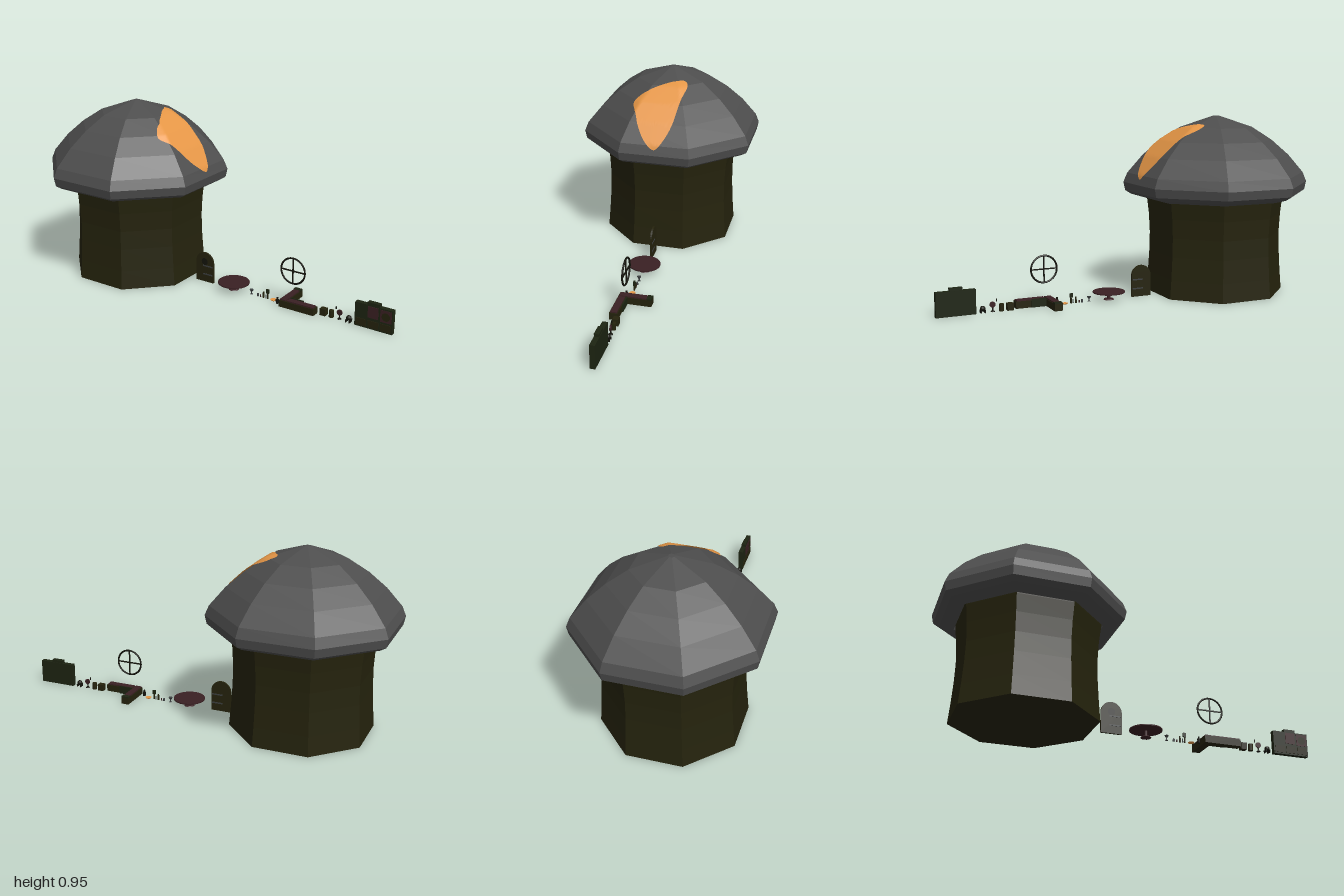
import * as THREE from 'three';

const mat = (name, color) => {
  const m = new THREE.MeshStandardMaterial({ color });
  m.name = name;
  return m;
};
// Faceted normals for low-poly parts
const faceted = (geo) => {
  const g = geo.index ? geo.toNonIndexed() : geo;
  g.computeVertexNormals();
  return g;
};

const CENTER = -0.545;
// Cap profile: [distance to flat side, height]
const CAP = [[0.33, 0.57], [0.35, 0.51], [0.36, 0.507], [0.42, 0.525], [0.45, 0.545], [0.459, 0.59],
  [0.44, 0.64], [0.365, 0.735], [0.28, 0.815], [0.18, 0.885], [0.015, 0.945], [0, 0.945]];
const STALK = [[0, 0], [0.343, 0], [0.335, 0.1], [0.328, 0.22], [0.326, 0.32], [0.331, 0.42], [0.341, 0.51], [0.345, 0.58]];

function capRadius(y) {
  for (let i = 5; i < CAP.length - 1; i++) {
    const [r0, y0] = CAP[i], [r1, y1] = CAP[i + 1];
    if (y <= y1) return r0 + (r1 - r0) * (y - y0) / (y1 - y0);
  }
  return 0;
}

function octagon(profile) {
  const k = 1 / Math.cos(Math.PI / 8);
  return faceted(new THREE.LatheGeometry(profile.map(([r, y]) => new THREE.Vector2(r * k, y)), 8, Math.PI / 8));
}

// Thin patch that follows the facets of the cap, from a (z, y) outline
function capPatch() {
  const outline = [[0.155, 0.8], [0.13, 0.772], [0.1, 0.715], [0.06, 0.66], [0, 0.617], [-0.025, 0.635],
    [-0.075, 0.72], [-0.1, 0.835], [-0.113, 0.882], [-0.09, 0.897], [-0.05, 0.9], [0.06, 0.873], [0.13, 0.832]];
  const rim = new THREE.CatmullRomCurve3(outline.map(([z, y]) => new THREE.Vector3(0, y, z)), true).getPoints(64);
  const rings = 16, n = rim.length, pos = [], idx = [];
  const mid = new THREE.Vector3(0, 0.79, 0.015);
  for (let j = 0; j <= rings; j++) {
    for (const p of rim) {
      const q = mid.clone().lerp(p, j / rings);
      const r = capRadius(q.y);
      const x = Math.min(r, r * Math.SQRT2 - Math.abs(q.z));
      pos.push(CENTER + x + 0.005, q.y + 0.004, q.z);
    }
  }
  for (let j = 0; j < rings; j++) {
    for (let i = 0; i < n - 1; i++) {
      const a = j * n + i, b = a + n;
      idx.push(a, b, b + 1, a, b + 1, a + 1);
    }
  }
  const g = new THREE.BufferGeometry();
  g.setAttribute('position', new THREE.Float32BufferAttribute(pos, 3));
  g.setIndex(idx);
  g.computeVertexNormals();
  return g;
}

function archShape(w, h) {
  const s = new THREE.Shape();
  s.moveTo(-w / 2, 0);
  s.lineTo(w / 2, 0);
  s.lineTo(w / 2, h - w / 2);
  s.absarc(0, h - w / 2, w / 2, 0, Math.PI, false);
  s.lineTo(-w / 2, 0);
  return s;
}
const arch = (w, h, d) =>
  new THREE.ExtrudeGeometry(archShape(w, h), { depth: d, bevelEnabled: false, curveSegments: 8 }).translate(0, 0, -d / 2);

export function createModel() {
  const root = new THREE.Group();
  const bark = mat('dark bark', 0x25230d);
  const grey = mat('cap grey', 0x4e4e4e);
  const orange = mat('orange spot', 0xe59646);
  orange.side = THREE.DoubleSide;
  const maroon = mat('maroon', 0x3a2023);
  const green = mat('dark green', 0x1d2412);
  const black = mat('near black', 0x14140c);
  const steel = mat('dull metal', 0x3c3f40);

  const add = (name, geo, material, x = 0, y = 0, z = 0, parent = root) => {
    const m = new THREE.Mesh(geo, material);
    m.name = name;
    m.position.set(x, y, z);
    parent.add(m);
    return m;
  };
  const group = (name, x) => {
    const g = new THREE.Group();
    g.name = name;
    g.position.x = x;
    root.add(g);
    return g;
  };
  // Box placed by its limits
  const box = (name, material, x0, x1, y0, y1, z0, z1, parent = root) =>
    add(name, new THREE.BoxGeometry(x1 - x0, y1 - y0, z1 - z0), material, (x0 + x1) / 2, (y0 + y1) / 2, (z0 + z1) / 2, parent);
  const cyl = (name, material, r0, r1, h, x, y, z, parent = root, n = 12) =>
    add(name, new THREE.CylinderGeometry(r1, r0, h, n), material, x, y + h / 2, z, parent);

  // House
  add('stalk', octagon(STALK), bark, CENTER);
  add('cap', octagon(CAP), grey, CENTER);
  add('capSpot', capPatch(), orange);
  const doorway = add('doorway', arch(0.125, 0.18, 0.006), bark, CENTER, 0, 0.338);
  doorway.rotation.x = -0.06;

  // Loose arched door with window bars and handle
  const door = group('door', -0.1);
  add('doorPanel', arch(0.11, 0.167, 0.01), bark, 0, 0, 0, door);
  add('doorWindow', new THREE.CircleGeometry(0.02, 12), black, 0, 0.115, 0.0056, door);
  for (const y of [0.04, 0.088]) box('hinge', steel, -0.01, 0.05, y, y + 0.007, -0.007, 0.007, door);

  // Round table
  const table = group('table', 0.085);
  cyl('tableTop', maroon, 0.084, 0.084, 0.006, 0, 0.038, 0, table, 32);
  cyl('tableStem', maroon, 0.009, 0.007, 0.036, 0, 0.003, 0, table);
  cyl('tableFoot', maroon, 0.028, 0.024, 0.005, 0, 0, 0, table);

  // Small tableware in a row: x, radius, height, colour
  cyl('gobletFoot', steel, 0.008, 0.006, 0.003, 0.197, 0, 0);
  cyl('gobletStem', steel, 0.003, 0.003, 0.016, 0.197, 0.002, 0);
  cyl('gobletBowl', steel, 0.006, 0.011, 0.01, 0.197, 0.017, 0);
  [[0.236, 0.006, 0.015, steel], [0.252, 0.004, 0.012, maroon], [0.27, 0.005, 0.032, bark], [0.285, 0.003, 0.02, steel]]
    .forEach(([x, r, h, m]) => cyl('cup', m, r, r * 0.8, h, x, 0, 0));
  cyl('candle', bark, 0.004, 0.004, 0.03, 0.297, 0, 0);
  box('lantern', green, 0.287, 0.303, 0.03, 0.052, -0.004, 0.004);
  cyl('plate', orange, 0.012, 0.017, 0.005, 0.331, 0, 0, root, 16);
  cyl('jug', black, 0.007, 0.009, 0.022, 0.366, 0, 0.02);
  cyl('jugNeck', black, 0.004, 0.005, 0.012, 0.366, 0.022, 0.02);

  // Round window frame with crossbars
  const frame = group('windowFrame', 0.442);
  frame.position.y = 0.192;
  add('windowRing', new THREE.TorusGeometry(0.069, 0.005, 6, 32), black, 0, 0, 0, frame);
  box('verticalBar', black, -0.003, 0.003, -0.069, 0.069, -0.003, 0.003, frame);
  box('horizontalBar', black, -0.069, 0.069, -0.003, 0.003, -0.003, 0.003, frame);

  // Corner bench
  box('benchLong', bark, 0.39, 0.59, 0, 0.036, 0.003, 0.046);
  box('benchShort', bark, 0.39, 0.432, 0, 0.036, -0.125, 0.003);
  box('seatLong', maroon, 0.435, 0.585, 0.036, 0.042, 0.008, 0.042);
  box('seatShort', maroon, 0.394, 0.428, 0.036, 0.042, -0.1, 0.042);
  box('benchEnd', green, 0.39, 0.432, 0.036, 0.043, -0.125, -0.1);
  box('benchBack', green, 0.432, 0.51, 0, 0.043, -0.003, 0.003);

  // Stools, mirror and lamp
  box('crate', bark, 0.608, 0.64, 0, 0.036, -0.015, 0.015);
  cyl('barrel', bark, 0.013, 0.013, 0.036, 0.668, 0, 0);
  cyl('standFoot', black, 0.011, 0.009, 0.004, 0.713, 0, 0);
  cyl('standPost', black, 0.003, 0.003, 0.018, 0.713, 0.003, 0);
  add('standDisc', new THREE.CylinderGeometry(0.015, 0.015, 0.006, 16).rotateX(Math.PI / 2), maroon, 0.713, 0.036, 0);
  cyl('standTop', black, 0.003, 0.003, 0.014, 0.693, 0.05, 0);
  add('pot', new THREE.SphereGeometry(0.014, 10, 8), black, 0.764, 0.021, 0);
  for (const s of [-1, 1]) box('potLeg', black, 0.762 + s * 0.01, 0.766 + s * 0.01, 0, 0.015, -0.015, 0.015);

  // Cabinet
  const cabinet = group('cabinet', 0.9);
  box('cabinetBody', green, -0.1, 0.1, 0, 0.125, -0.014, 0.012, cabinet);
  box('cabinetCrown', green, -0.035, 0.03, 0.125, 0.14, -0.012, 0.012, cabinet);
  box('cabinetDoor', maroon, -0.03, 0.025, 0.06, 0.12, 0.012, 0.015, cabinet);
  box('cabinetShelf', maroon, 0.035, 0.095, 0.055, 0.118, 0.012, 0.014, cabinet);
  add('cabinetDish', new THREE.CircleGeometry(0.022, 16), bark, 0.065, 0.085, 0.0146, cabinet);
  for (const x of [-0.065, 0, 0.065]) box('drawer', bark, x - 0.028, x + 0.028, 0.008, 0.045, 0.012, 0.015, cabinet);

  return root;
}
